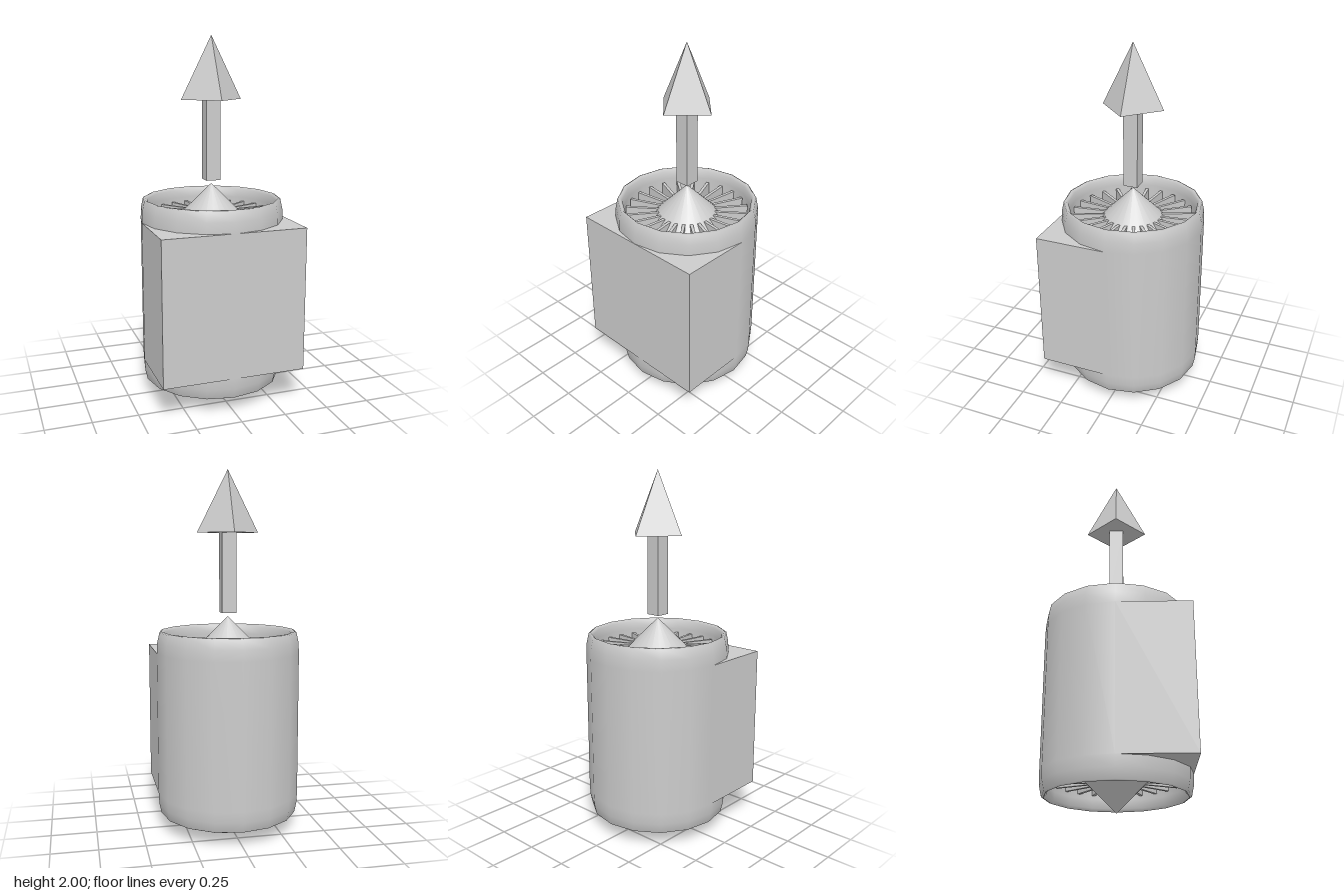
import * as THREE from 'three';

const MID = 0.6; // the housing is mirrored about this height

function mesh(name, geometry, flat = false, side = THREE.FrontSide) {
  const m = new THREE.Mesh(geometry, new THREE.MeshStandardMaterial({ color: 0xcccccc, flatShading: flat, side }));
  m.name = name;
  return m;
}

const flip = (pts) => pts.map(([r, y]) => [r, 2 * MID - y]).reverse();
const lathe = (pts, sides) => new THREE.LatheGeometry(pts.map(([r, y]) => new THREE.Vector2(r, y)), sides);

export function createModel() {
  const model = new THREE.Group();
  model.name = 'ductedThruster';

  // Hollow duct with rounded lips
  const outer = [[0.4, 1.0], [0.397, 1.06], [0.385, 1.115], [0.374, 1.12]];
  const inner = [[0.374, 1.12], [0.36, 1.105], [0.355, 1.06]];
  const profile = [...flip(outer), ...outer, ...inner.slice(1), ...flip(inner)];
  model.add(mesh('duct', lathe(profile, 16), false, THREE.DoubleSide));

  // Square mounting block that wraps the front half of the duct
  const s = new THREE.Shape();
  s.moveTo(-0.4, 0);
  for (let i = 8; i >= 0; i--) {
    const a = (i * Math.PI) / 8;
    s.lineTo(0.385 * Math.cos(a), 0.385 * Math.sin(a));
  }
  s.lineTo(0.4, 0);
  s.lineTo(0.4, 0.4);
  s.lineTo(-0.4, 0.4);
  s.closePath();
  const block = new THREE.ExtrudeGeometry(s, { depth: 0.8, bevelEnabled: false });
  block.rotateX(Math.PI / 2).translate(0, 1.0, 0);
  model.add(mesh('mountingBlock', block, true));

  // Spindle-shaped hub with a cone at each end
  const nose = [[0.27, 0.86], [0.26, 0.92], [0.22, 0.98], [0, 1.2]];
  model.add(mesh('hub', lathe([...flip(nose), ...nose], 24)));

  // Radial vanes at both ends of the duct
  for (const [name, y] of [['upperVanes', 0.99], ['lowerVanes', 0.21]]) {
    const vanes = new THREE.Group();
    vanes.name = name;
    const geometry = new THREE.BoxGeometry(0.225, 0.1, 0.017).translate(0.2325, y, 0);
    for (let i = 0; i < 24; i++) {
      const vane = mesh('vane', geometry, true);
      vane.rotation.y = ((i + 0.5) * Math.PI) / 12;
      vanes.add(vane);
    }
    model.add(vanes);
  }

  // Direction arrow above the duct
  const arrow = new THREE.Group();
  arrow.name = 'arrow';
  arrow.add(mesh('arrowShaft', new THREE.BoxGeometry(0.08, 0.44, 0.08).translate(0, 1.44, 0), true));
  arrow.add(mesh('arrowHead', new THREE.ConeGeometry(0.172, 0.34, 4).translate(0, 1.83, 0), true));
  model.add(arrow);

  return model;
}
